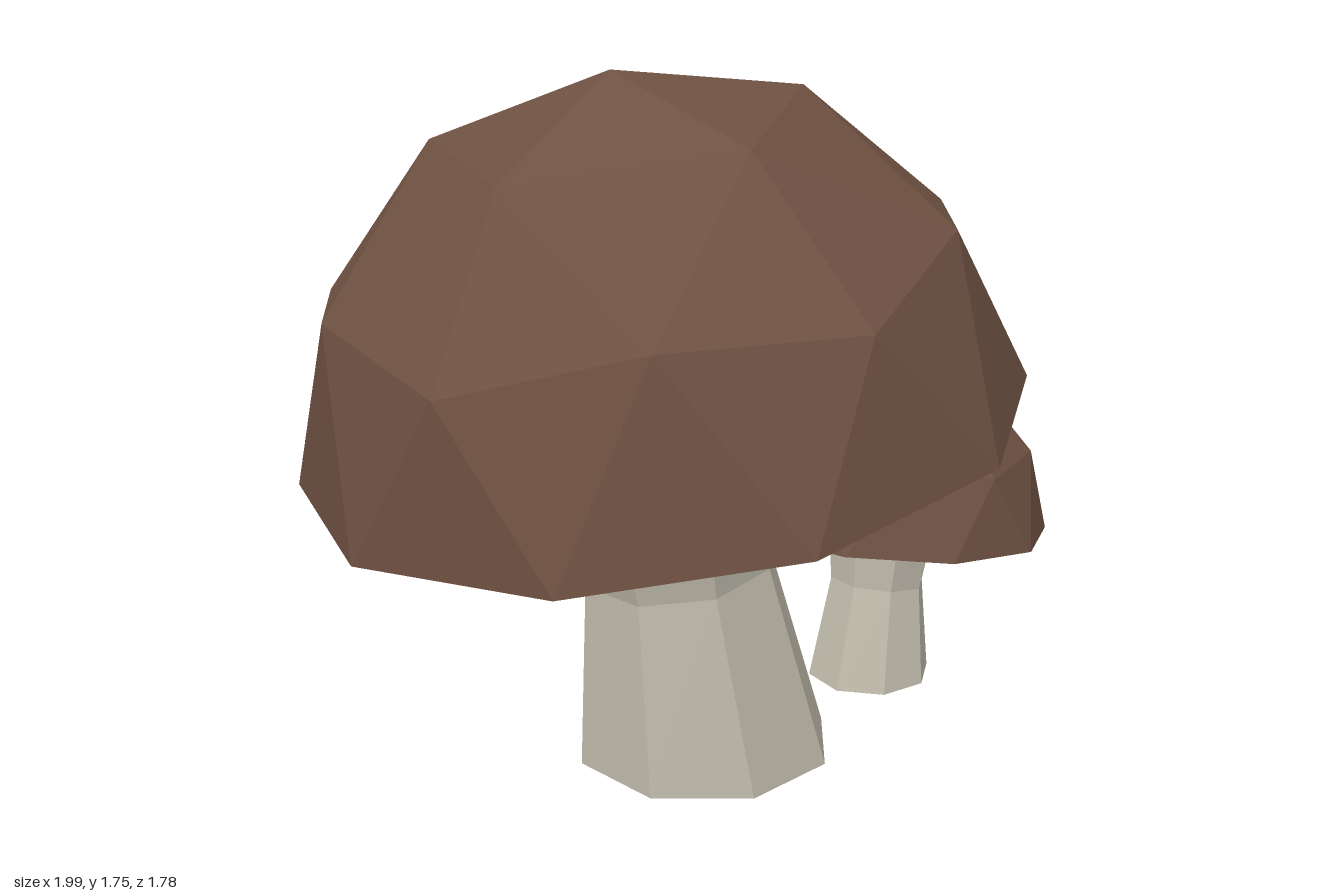
import * as THREE from 'three';

const brown = new THREE.MeshStandardMaterial({ color: 0x6e5142, flatShading: true });
brown.name = 'cap brown';
const cream = new THREE.MeshStandardMaterial({ color: 0xbeb9aa, flatShading: true });
cream.name = 'stem cream';

const TILT = THREE.MathUtils.degToRad(8);
const CAP_RADIUS = 0.89;

// Upper half of a subdivided icosahedron standing on one of its corners
function domeGeometry(radius) {
  const sphere = new THREE.IcosahedronGeometry(radius, 1);
  sphere.rotateZ(-Math.atan(2 / (1 + Math.sqrt(5))));
  const p = sphere.attributes.position;
  const kept = [];
  for (let i = 0; i < p.count; i += 3) {
    if (p.getY(i) + p.getY(i + 1) + p.getY(i + 2) <= 0) continue;
    for (let k = i; k < i + 3; k++) kept.push(p.getX(k), p.getY(k), p.getZ(k));
  }
  const geometry = new THREE.BufferGeometry();
  geometry.setAttribute('position', new THREE.Float32BufferAttribute(kept, 3));
  geometry.computeVertexNormals();
  return geometry;
}

// Eight-sided stem with three rings: foot, waist and flared top
function stemGeometry() {
  const rings = [
    { x: -0.06, y: 0, rx: 0.33, rz: 0.33, slope: 0 },
    { x: -0.13, y: 0.51, rx: 0.24, rz: 0.26, slope: 0.13 },
    { x: -0.18, y: 0.87, rx: 0.28, rz: 0.313, slope: 0.14 },
  ];
  const geometry = new THREE.CylinderGeometry(1, 1, 2, 8, 2);
  const p = geometry.attributes.position;
  for (let i = 0; i < p.count; i++) {
    const ring = rings[Math.round(p.getY(i)) + 1];
    const dx = p.getX(i) * ring.rx;
    p.setXYZ(i, ring.x + dx, ring.y + dx * ring.slope, p.getZ(i) * ring.rz);
  }
  geometry.computeVertexNormals();
  return geometry;
}

function part(name, geometry, material) {
  const mesh = new THREE.Mesh(geometry, material);
  mesh.name = name;
  return mesh;
}

function makeMushroom(name) {
  const mushroom = new THREE.Group();
  mushroom.name = name;
  mushroom.add(part('stem', stemGeometry(), cream));

  // Tilted cap: faceted dome and flat underside
  const cap = new THREE.Group();
  cap.name = 'cap';
  const underside = new THREE.CircleGeometry(CAP_RADIUS, 10, Math.PI / 10);
  underside.rotateX(Math.PI / 2);
  cap.add(part('capDome', domeGeometry(CAP_RADIUS), brown));
  cap.add(part('capUnderside', underside, brown));
  cap.position.set(-0.16, 0.857, 0);
  cap.rotation.z = TILT;
  mushroom.add(cap);
  return mushroom;
}

export function createModel() {
  const model = new THREE.Group();
  model.name = 'mushrooms';

  const large = makeMushroom('largeMushroom');
  large.position.y = 0.01;

  // Half-size copy, turned to lean the other way
  const small = makeMushroom('smallMushroom');
  small.scale.setScalar(0.506);
  small.rotation.y = THREE.MathUtils.degToRad(214);
  small.position.set(0.498, 0, -0.225);

  model.add(large, small);
  return model;
}
